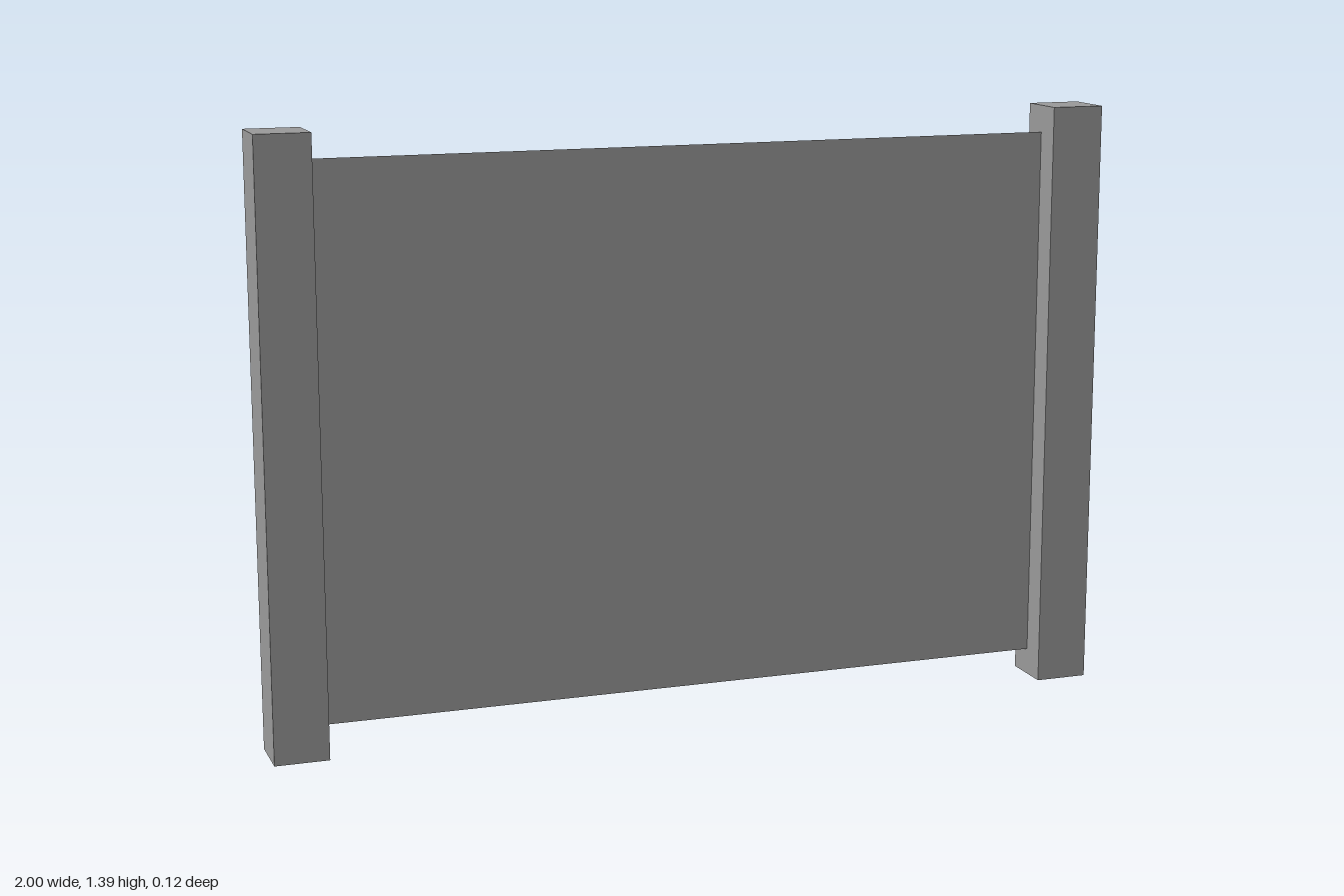
import * as THREE from 'three';

export function createModel() {
  const model = new THREE.Group();
  const grey = new THREE.MeshStandardMaterial({ color: 0x999999, side: THREE.DoubleSide });
  grey.name = 'grey';

  const height = 1.395, post = 0.125, gap = 0.0625;

  // Square posts at both ends
  for (const [name, side] of [['leftPost', 1], ['rightPost', -1]]) {
    const mesh = new THREE.Mesh(new THREE.BoxGeometry(post, height, post), grey);
    mesh.name = name;
    mesh.position.set(side * (1 - post / 2), height / 2, 0);
    model.add(mesh);
  }

  // Thin sheet stretched between the posts
  const panel = new THREE.Mesh(new THREE.PlaneGeometry(2 - 2 * post, height - 2 * gap), grey);
  panel.name = 'panel';
  panel.position.y = height / 2;
  model.add(panel);

  return model;
}
